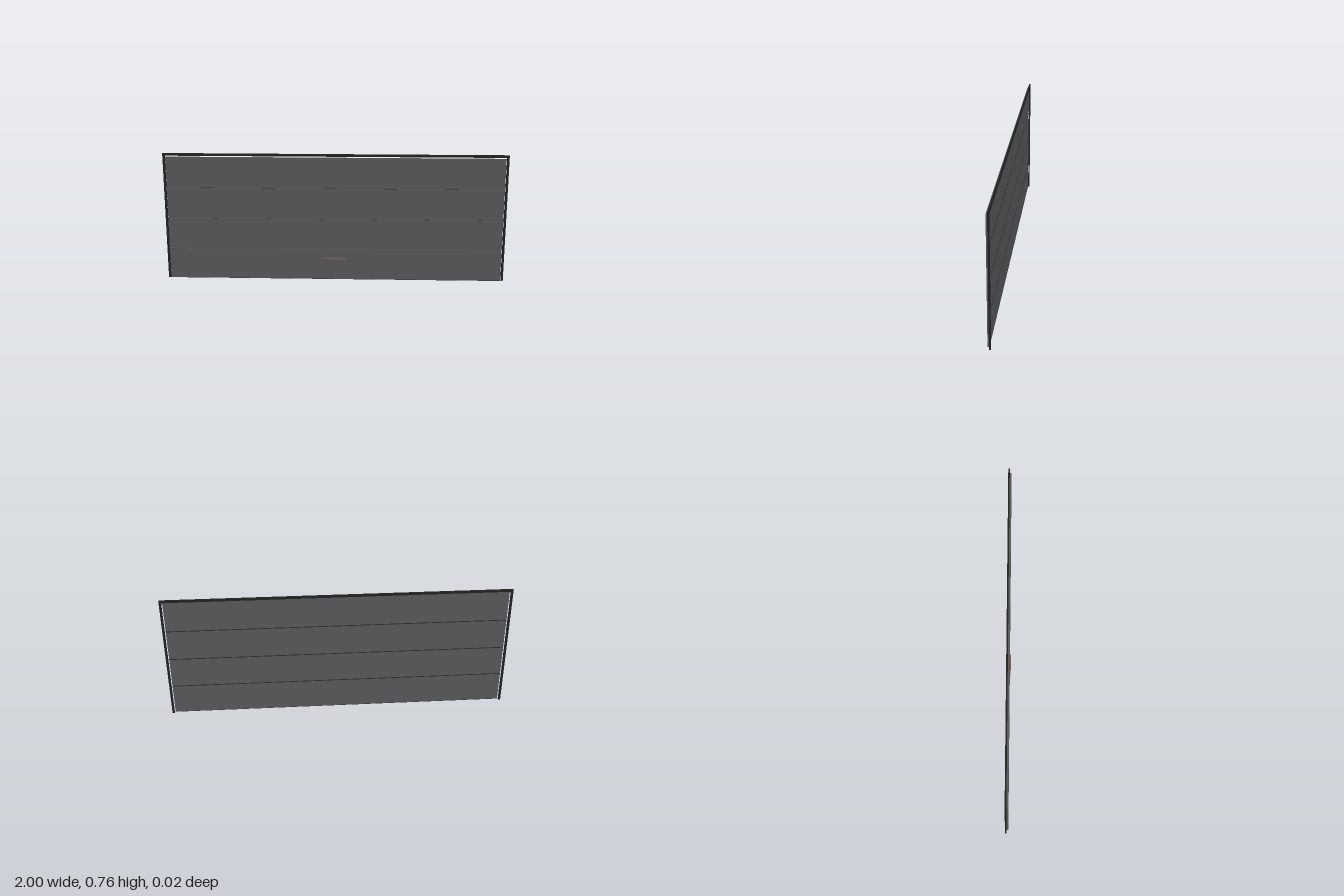
import * as THREE from 'three';

export function createModel() {
  const group = new THREE.Group();
  const mat = (color) => new THREE.MeshStandardMaterial({ color });
  const frameMat = mat(0x222222);
  const panelMat = mat(0x58585b);
  const sealMat = mat(0x2c2c2e);
  const handleMat = mat(0x8a6644);

  // Box given by its limits on each axis
  function box(name, material, [x0, x1], [y0, y1], [z0, z1]) {
    const mesh = new THREE.Mesh(new THREE.BoxGeometry(x1 - x0, y1 - y0, z1 - z0), material);
    mesh.position.set((x0 + x1) / 2, (y0 + y1) / 2, (z0 + z1) / 2);
    mesh.name = name;
    group.add(mesh);
  }

  // Frame: two jambs and a header, set behind the door leaf
  const frameZ = [-0.012, -0.003];
  box('leftJamb', frameMat, [0.987, 1], [0, 0.757], frameZ);
  box('rightJamb', frameMat, [-1, -0.987], [0, 0.757], frameZ);
  box('header', frameMat, [-0.987, 0.987], [0.743, 0.757], frameZ);

  // Four horizontal door sections with narrow gaps
  const bottom = 0.005, pitch = 0.184, gap = 0.003, half = 0.982;
  for (let i = 0; i < 4; i++) {
    const y = bottom + i * pitch;
    box(`doorSection${i + 1}`, panelMat, [-half, half], [y, y + pitch - gap], [-0.003, 0.007]);
    // Dark strip closing the joint from behind
    if (i > 0) box(`jointStrip${i}`, sealMat, [-half, half], [y - gap - 0.001, y + 0.001], [-0.004, -0.003]);
  }

  // Seal under the lowest section
  box('bottomSeal', sealMat, [-half, half], [0.003, bottom], [-0.003, 0.006]);

  // Slim round pull handle on the lowest section
  const handle = new THREE.Mesh(new THREE.CylinderGeometry(0.003, 0.003, 0.14, 16), handleMat);
  handle.rotation.z = Math.PI / 2;
  handle.position.set(0, 0.13, 0.0095);
  handle.name = 'handle';
  group.add(handle);

  return group;
}
